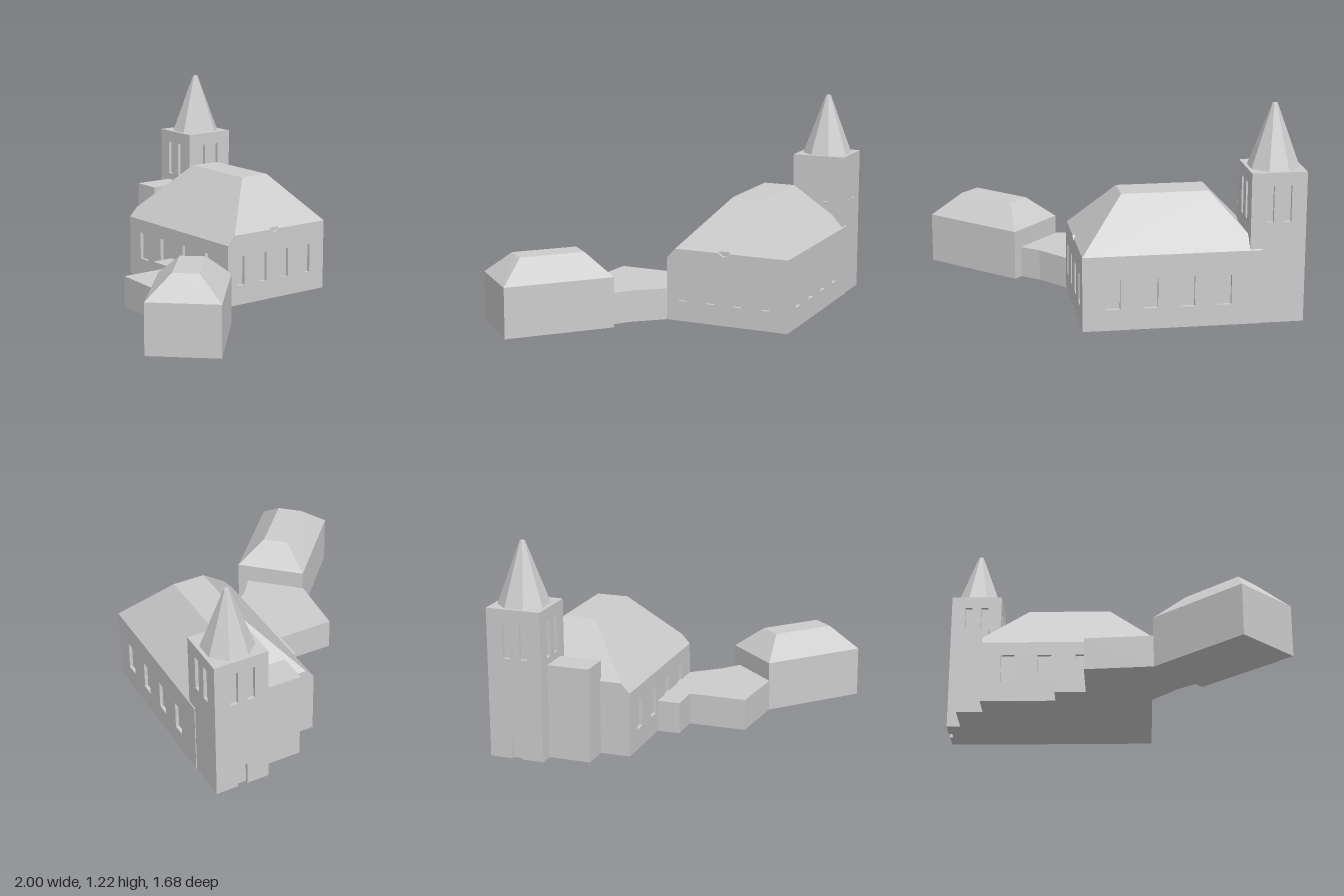
import * as THREE from 'three';
import { ConvexGeometry } from 'three/addons/geometries/ConvexGeometry.js';

const RECESS = 0.02;
const FRONT = 0, RIGHT = Math.PI / 2, BACK = Math.PI, LEFT = -Math.PI / 2;

export function createModel() {
  const model = new THREE.Group();
  const stone = new THREE.MeshStandardMaterial({ color: 0xcccccc, side: THREE.DoubleSide });
  stone.name = 'light grey stone';

  const add = (name, geometry, parent = model) => {
    const mesh = new THREE.Mesh(geometry, stone);
    mesh.name = name;
    parent.add(mesh);
    return mesh;
  };
  const group = (name) => {
    const g = new THREE.Group();
    g.name = name;
    model.add(g);
    return g;
  };
  const shapeOf = (pts) => new THREE.Shape(pts.map(([x, y]) => new THREE.Vector2(x, y)));
  const rect = (u0, u1, v0, v1) => [[u0, v0], [u1, v0], [u1, v1], [u0, v1]];
  const box = (x0, x1, y0, y1, z0, z1) =>
    new THREE.BoxGeometry(x1 - x0, y1 - y0, z1 - z0).translate((x0 + x1) / 2, (y0 + y1) / 2, (z0 + z1) / 2);

  // Wall panel with window holes; its outer face lies at distance `offset` along the facing
  const wall = (name, outline, holes, facing, offset, parent) => {
    const shape = shapeOf(outline);
    holes.forEach((h) => shape.holes.push(shapeOf(rect(...h))));
    const g = new THREE.ExtrudeGeometry(shape, { depth: RECESS, bevelEnabled: false });
    add(name, g.translate(0, 0, offset - RECESS).rotateY(facing), parent);
  };
  // Window openings of equal size, centred at the given positions
  const windows = (centres, width, v0, v1) => centres.map((c) => [c - width / 2, c + width / 2, v0, v1]);

  // Flat roof faces given as outlines of 3D points, all turned upwards
  const roof = (faces) => {
    const pos = [];
    for (const face of faces) {
      const flat = face.map(([x, , z]) => new THREE.Vector2(x, -z));
      for (const [a, b, c] of THREE.ShapeUtils.triangulateShape(flat, [])) {
        const up = THREE.ShapeUtils.area([flat[a], flat[b], flat[c]]) > 0;
        for (const i of up ? [a, b, c] : [a, c, b]) pos.push(...face[i]);
      }
    }
    const g = new THREE.BufferGeometry();
    g.setAttribute('position', new THREE.Float32BufferAttribute(pos, 3));
    g.computeVertexNormals();
    return g;
  };

  // Main hall
  const hall = group('hall');
  const x0 = -0.76, x1 = 0.24, z0 = -0.845, z1 = -0.1, eave = 0.425, low = 0.37, zEave = -0.15;
  const core = new THREE.ExtrudeGeometry(
    shapeOf([[0.12, 0], [0.825, 0], [0.825, 0.435], [0.17, 0.435], [0.12, 0.385]]),
    { depth: x1 - x0 - 2 * RECESS, bevelEnabled: false });
  add('hallCore', core.translate(0, 0, x0 + RECESS).rotateY(RIGHT), hall);
  wall('hallFrontWall', rect(x0, x1, 0, low),
    windows([-0.605, -0.39, -0.165, 0.062], 0.082, 0.12, 0.288), FRONT, z1, hall);
  wall('hallBackWall', rect(-x1, -x0, 0, eave),
    windows([-0.07, 0.14, 0.345, 0.55], 0.078, 0.12, 0.29), BACK, -z0, hall);
  // Right wall with a small rounded notch under the eave
  wall('hallRightWall',
    [[-z1, 0], [-z0, 0], [-z0, eave], [0.488, eave], [0.478, 0.411], [0.455, 0.404], [0.432, 0.411],
      [0.422, eave], [-zEave, eave], [-z1, low]],
    windows([0.198, 0.368, 0.537, 0.708], 0.053, 0.118, 0.294), RIGHT, x1, hall);
  wall('hallLeftWall', [[z0, 0], [z1, 0], [z1, low], [zEave, eave], [z0, eave]], [], LEFT, -x0, hall);

  // Hipped hall roof with a flat top
  const xa = -0.505, xb = -0.01, za = -0.595, zb = -0.405, top = 0.705;
  const A = [xa, top, za], B = [xb, top, za], C = [xb, top, zb], D = [xa, top, zb];
  const backL = [x0, eave, z0], backR = [x1, eave, z0];
  const frontL = [x0, eave, zEave], frontR = [x1, eave, zEave];
  add('hallRoof', roof([
    [A, B, C, D],
    [backL, backR, B, A],
    [[x0, low, z1], [x1, low, z1], frontR, C, D, frontL],
    [backL, A, D, frontL],
    [frontR, C, B, backR, [x1, eave, -0.488], [0.231, 0.435, -0.488], [0.231, 0.435, -0.422], [x1, eave, -0.422]],
  ]), hall);

  // Bell tower with paired openings on every side
  const tower = group('tower');
  const t = { x0: -1, x1: -0.69, z0: -0.84, z1: -0.52, h: 0.86 };
  add('towerCore', box(t.x0 + RECESS, t.x1 - RECESS, 0, t.h, t.z0 + RECESS, t.z1 - RECESS), tower);
  const pair = (a, b) => windows([a, b], 0.044, 0.58, 0.787);
  wall('towerFrontWall', rect(t.x0, t.x1, 0, t.h), pair(-0.893, -0.795), FRONT, t.z1, tower);
  wall('towerBackWall', rect(-t.x1, -t.x0, 0, t.h), pair(0.893, 0.795), BACK, -t.z0, tower);
  wall('towerRightWall', rect(-t.z1, -t.z0, 0, t.h), pair(0.623, 0.724), RIGHT, t.x1, tower);
  wall('towerDoorWall',
    [[t.z0, 0], [-0.71, 0], [-0.71, 0.14], [-0.65, 0.14], [-0.65, 0], [t.z1, 0], [t.z1, t.h], [t.z0, t.h]],
    pair(-0.623, -0.724), LEFT, -t.x0, tower);

  // Eight-sided spire
  const spire = new THREE.CylinderGeometry(0.015, 0.147, 0.355, 8, 1, false, Math.PI / 8).toNonIndexed();
  spire.computeVertexNormals();
  add('spire', spire.translate(-0.845, t.h + 0.1775, -0.682), tower);

  // Porch between the tower and the hall
  add('porch', box(-0.917, -0.74, 0, 0.54, -0.53, -0.275));

  // Low flat-roofed link from the hall to the wing
  const link = new THREE.ExtrudeGeometry(
    shapeOf([[-0.32, 0.11], [-0.32, -0.035], [-0.14, -0.035], [-0.14, -0.375], [0.245, -0.408],
      [0.5, -0.16], [0.38, -0.064], [0.24, 0.1], [0.24, 0.11]]),
    { depth: 0.185, bevelEnabled: false });
  add('link', link.rotateX(-Math.PI / 2));

  // Angled wing with a hipped roof
  const corners = [[0.245, 0.405], [0.525, 0.1], [1, 0.54], [0.715, 0.84]];
  const ridge = [[0.43, 0.393], [0.53, 0.285], [0.81, 0.545], [0.71, 0.655]];
  const at = (pts, y) => pts.map(([x, z]) => new THREE.Vector3(x, y, z));
  add('wing', new ConvexGeometry([...at(corners, 0), ...at(corners, 0.295), ...at(ridge, 0.425)]));

  return model;
}
